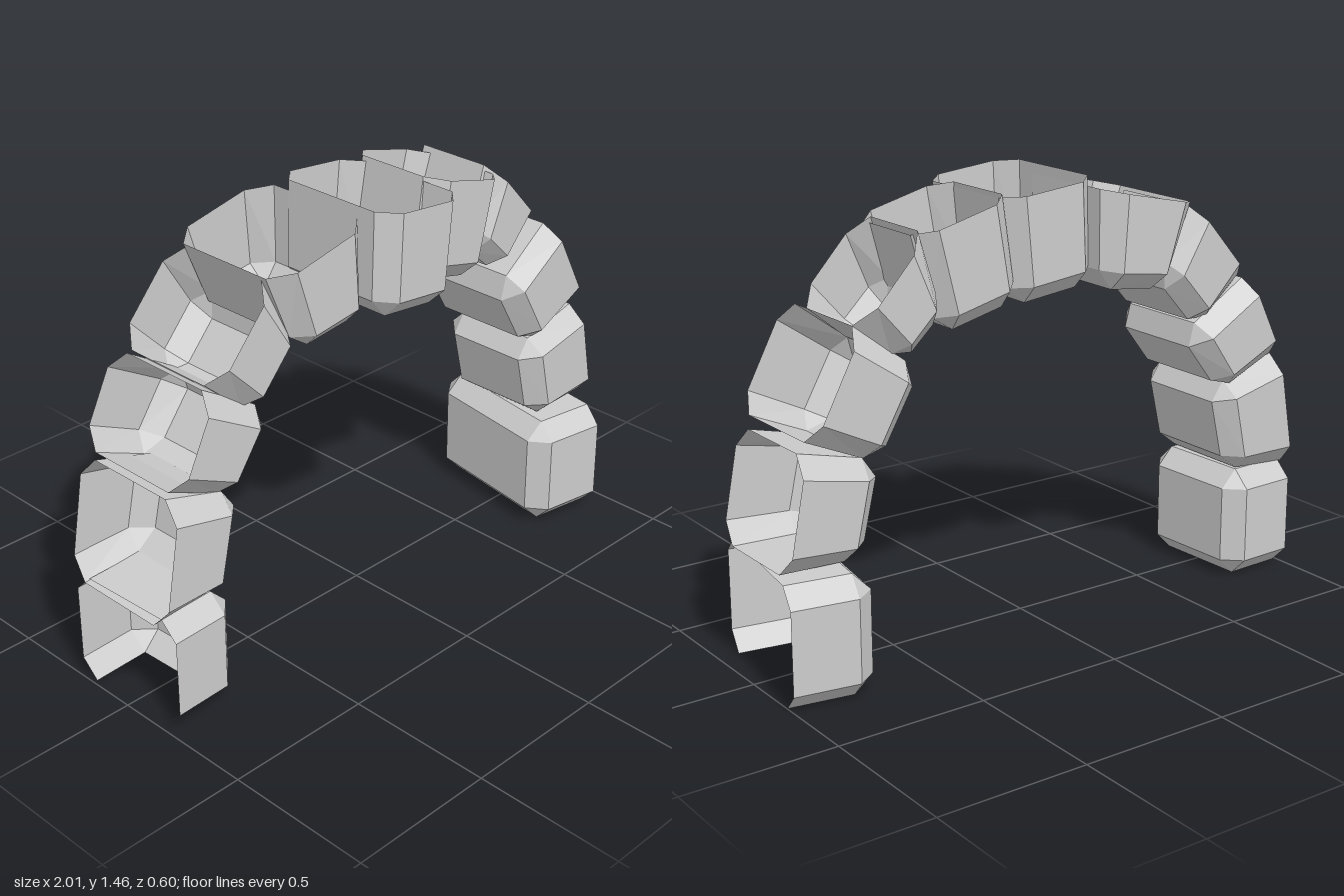
import * as THREE from 'three';

const material = new THREE.MeshStandardMaterial({ color: 0xcccccc, flatShading: true, side: THREE.DoubleSide });
const CHAMFER = 0.06;

// One hollow chamfered block, open on the outside of the arch.
// corners: outer start, outer end, inner end, inner start (x, y); u runs along the arch, d inwards.
function blockGeometry(corners, z0, z1, openSide) {
  const [a, b, c, d] = corners.map(([x, y]) => new THREE.Vector2(x, y));
  const at = (u, depth, z) => {
    const p = a.clone().lerp(b, u).lerp(d.clone().lerp(c, u), depth);
    return [p.x, p.y, z];
  };
  const depthCut = 1 - (CHAMFER * 2) / (a.distanceTo(d) + b.distanceTo(c));
  const k = (CHAMFER * 2) / (a.distanceTo(b) + c.distanceTo(d));
  const zb = z0 + CHAMFER, zf = z1 - CHAMFER;
  const octagon = [[k, z0], [1 - k, z0], [1, zb], [1, zf], [1 - k, z1], [k, z1], [0, zf], [0, zb]];
  const clamp = THREE.MathUtils.clamp;
  const rim = octagon.map(([u, z]) => at(u, 0, z));
  const shoulder = octagon.map(([u, z]) => at(u, depthCut, z));
  const inner = octagon.map(([u, z]) => at(clamp(u, k, 1 - k), 1, clamp(z, zb, zf)));

  const pos = [];
  const tri = (p, q, r) => {
    const same = (m, n) => m.every((v, i) => Math.abs(v - n[i]) < 1e-6);
    if (!same(p, q) && !same(q, r) && !same(p, r)) pos.push(...p, ...q, ...r);
  };
  const quad = (p, q, r, s) => { tri(p, q, r); tri(p, r, s); };
  for (let i = 0; i < 8; i++) {
    const j = (i + 1) % 8;
    if (i !== openSide) quad(rim[i], rim[j], shoulder[j], shoulder[i]);
    quad(shoulder[i], shoulder[j], inner[j], inner[i]);
  }
  quad(inner[0], inner[1], inner[3], inner[5]);

  const g = new THREE.BufferGeometry();
  g.setAttribute('position', new THREE.Float32BufferAttribute(pos, 3));
  g.computeVertexNormals();
  return g;
}

// Blocks in order around the arch, from the right foot to the left foot
const blocks = [
  { name: 'rightFootStone', corners: [[-0.98, 0], [-0.98, 0.38], [-0.72, 0.38], [-0.72, 0]], z: [-0.23, 0.21], yaw: 0.04, open: 6 },
  { name: 'archStone', corners: [[-1, 0.37], [-0.93, 0.77], [-0.66, 0.69], [-0.73, 0.39]], z: [-0.23, 0.21] },
  { name: 'archStone', corners: [[-0.91, 0.78], [-0.77, 1.06], [-0.51, 0.9], [-0.68, 0.68]], z: [-0.25, 0.2] },
  { name: 'archStone', corners: [[-0.76, 1.07], [-0.53, 1.33], [-0.41, 1.1], [-0.58, 0.91]], z: [-0.24, 0.2] },
  { name: 'archStone', corners: [[-0.54, 1.34], [-0.17, 1.42], [-0.17, 1.1], [-0.43, 1.07]], z: [-0.245, 0.23] },
  { name: 'keystone', corners: [[-0.17, 1.455], [0.17, 1.42], [0.13, 1.075], [-0.18, 1.11]], z: [-0.18, 0.3] },
  { name: 'archStone', corners: [[0.17, 1.435], [0.5, 1.35], [0.41, 1.03], [0.12, 1.1]], z: [-0.2, 0.18] },
  { name: 'archStone', corners: [[0.5, 1.37], [0.73, 1.12], [0.56, 0.98], [0.42, 1.11]], z: [-0.24, 0.14] },
  { name: 'archStone', corners: [[0.73, 1.12], [0.9, 0.8], [0.65, 0.69], [0.5, 0.95]], z: [-0.24, 0.21] },
  { name: 'archStone', corners: [[0.91, 0.76], [0.98, 0.4], [0.7, 0.39], [0.63, 0.69]], z: [-0.21, 0.2] },
  { name: 'leftFootStone', corners: [[0.965, 0.39], [0.965, 0], [0.69, 0], [0.69, 0.39]], z: [-0.29, 0.27], yaw: -0.16, open: 2 },
];

export function createModel() {
  const arch = new THREE.Group();
  arch.name = 'stoneArch';
  blocks.forEach(({ name, corners, z, yaw = 0, open = -1 }, i) => {
    // Each block is built around its own middle so it can be turned in place
    const midX = corners.reduce((s, p) => s + p[0], 0) / 4;
    const local = corners.map(([x, y]) => [x - midX, y]);
    const mesh = new THREE.Mesh(blockGeometry(local, z[0], z[1], open), material);
    mesh.name = name === 'archStone' ? `archStone${i}` : name;
    mesh.position.x = midX;
    mesh.rotation.y = yaw;
    arch.add(mesh);
  });
  return arch;
}
